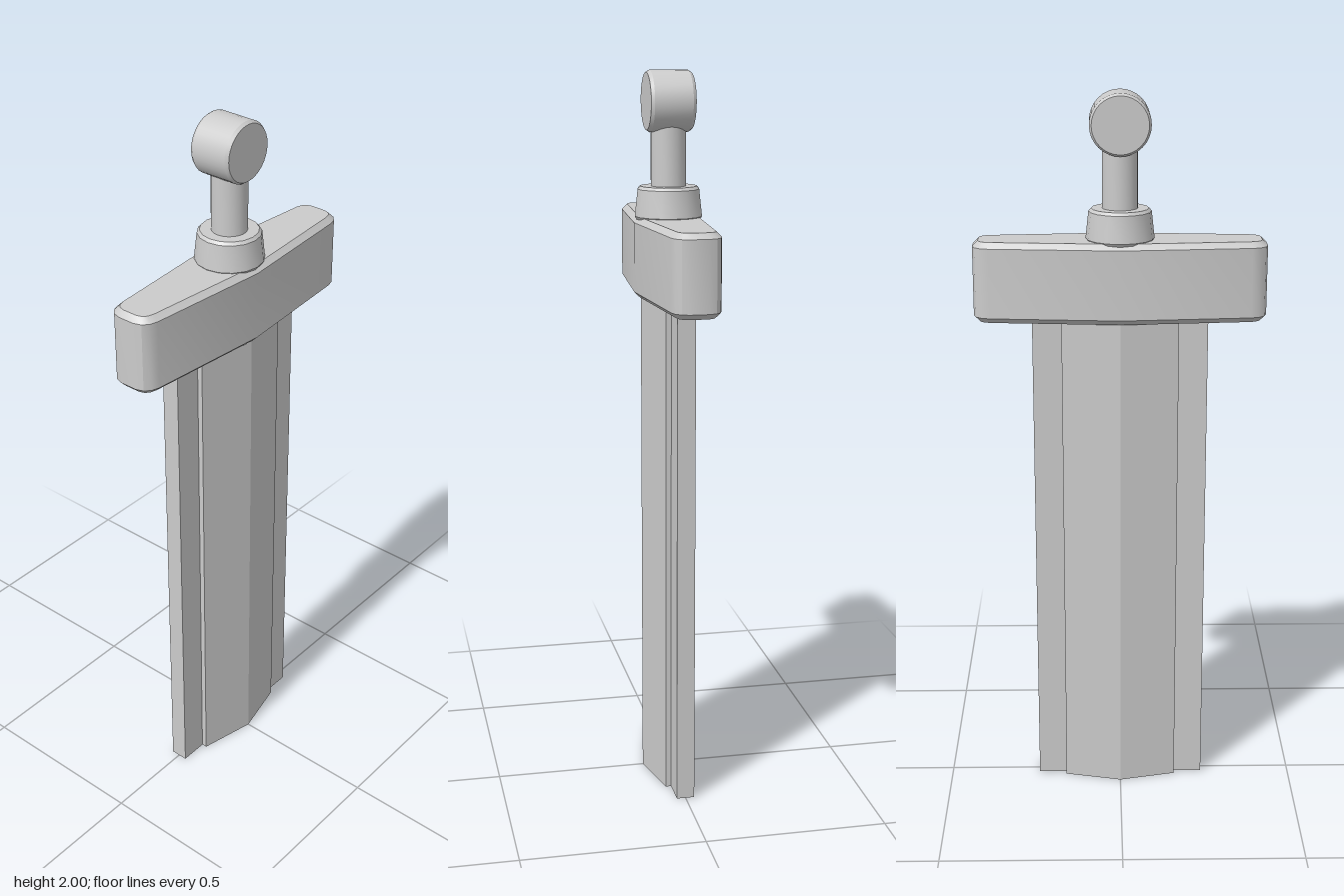
import * as THREE from 'three';
import { toCreasedNormals } from 'three/addons/utils/BufferGeometryUtils.js';

const material = new THREE.MeshStandardMaterial({ color: 0xcccccc, side: THREE.DoubleSide });

function part(name, geometry, crease = 0.5) {
  const mesh = new THREE.Mesh(toCreasedNormals(geometry, crease), material);
  mesh.name = name;
  return mesh;
}

// Vertical extrusion of a plan outline (x, z) starting at height y
function extrudeUp(shape, y, height, bevel) {
  const geometry = new THREE.ExtrudeGeometry(shape, { depth: height, curveSegments: 4, bevelEnabled: false, ...bevel });
  return geometry.rotateX(-Math.PI / 2).translate(0, y, 0);
}

function turned(profile, segments) {
  return new THREE.LatheGeometry(profile.map(([r, y]) => new THREE.Vector2(r, y)), segments);
}

// Mirror a quarter outline (from the side round to the end) into a closed one
function mirrored(quarter) {
  const right = [...quarter.map(([x, z]) => [x, -z]).reverse(), ...quarter];
  const left = right.map(([x, z]) => [-x, z]).reverse();
  const points = [...right, ...left].map(([x, z]) => new THREE.Vector2(x, z));
  return new THREE.Shape(points.filter((p, i) => p.distanceTo(points[(i + 1) % points.length]) > 1e-5));
}

export function createModel() {
  const group = new THREE.Group();

  // Blade: ridged core with a thin stepped edge along each side
  const bladeOutline = mirrored([[0.077, 0], [0.04, 0.16], [0.025, 0.16], [0.025, 0.24]]);
  group.add(part('blade', extrudeUp(bladeOutline, 0, 1.41), 0.15));

  // Guard: tapered bar with rounded ends and bevelled rims
  const guardOutline = mirrored([[0.08, 0], [0.051, 0.35], [0.046, 0.367], [0.037, 0.377], [0.022, 0.382]]);
  group.add(part('guard', extrudeUp(guardOutline, 1.405, 0.19, {
    bevelEnabled: true, bevelThickness: 0.015, bevelSize: 0.015, bevelSegments: 1,
  })));

  // Grip: flared collar and slim stem
  group.add(part('collar', turned([[0, 1.595], [0.082, 1.595], [0.093, 1.612], [0.085, 1.685], [0.078, 1.693], [0, 1.693]], 16)));
  group.add(part('stem', turned([[0.048, 1.68], [0.048, 1.87]], 20)));

  // Pommel: chamfered drum lying across the grip
  const drum = turned([[0, -0.061], [0.076, -0.061], [0.082, -0.052], [0.082, 0.052], [0.076, 0.061], [0, 0.061]], 32);
  group.add(part('pommel', drum.rotateZ(-Math.PI / 2).translate(0, 1.918, 0)));

  return group;
}
